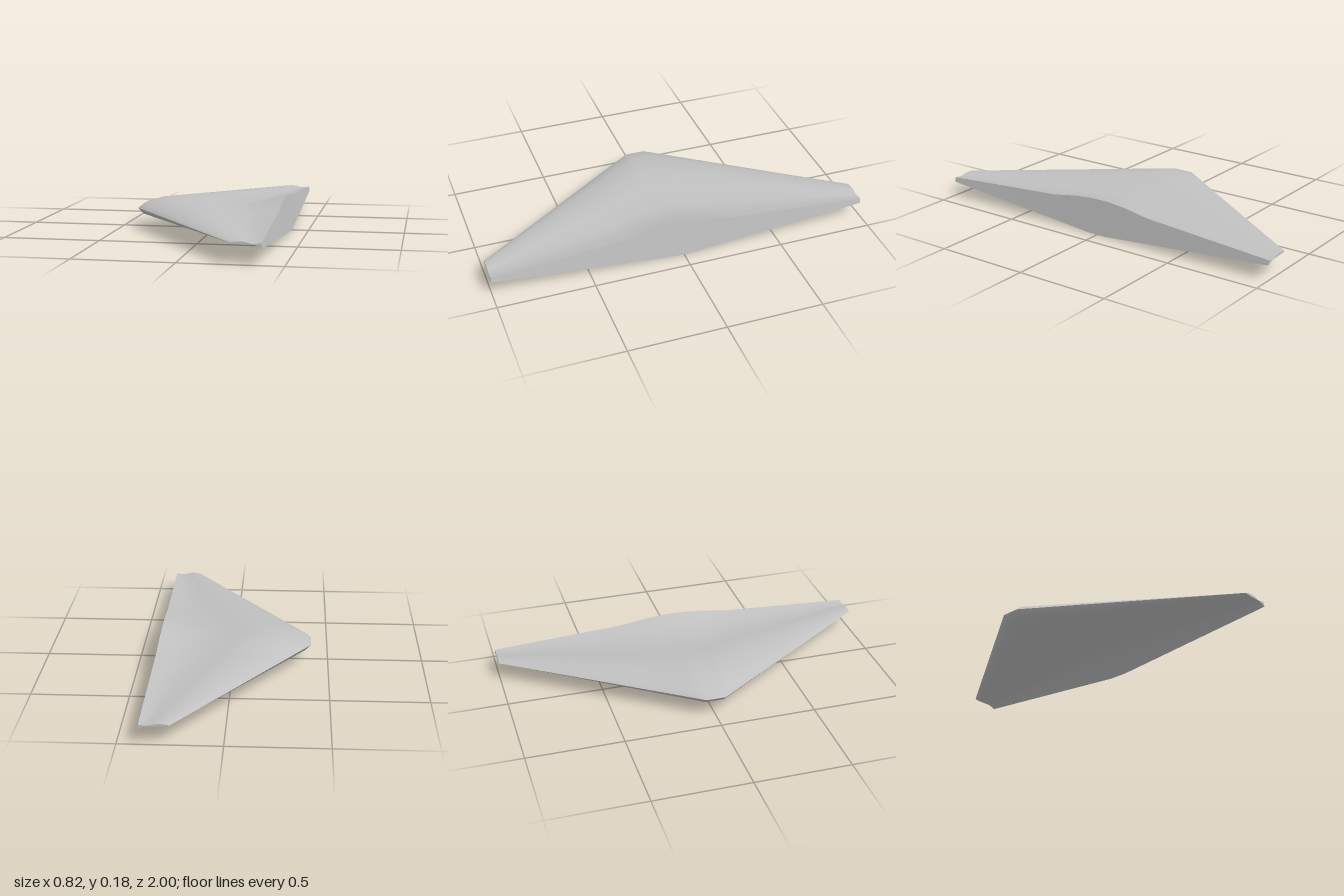
import * as THREE from 'three';

// Section outlines as [x, y], from leading edge to trailing edge
const ROOT_TOP = [[-0.41, 0.105], [-0.38, 0.13], [-0.29, 0.157], [-0.15, 0.17], [0, 0.157], [0.16, 0.127], [0.3, 0.157], [0.38, 0.182]];
const TIP_TOP = [[0.25, 0.103], [0.258, 0.106], [0.272, 0.109], [0.295, 0.11], [0.322, 0.108], [0.35, 0.1], [0.378, 0.102], [0.395, 0.105]];
const ROOT_LOW = [[-0.41, 0.105], [-0.38, 0.075], [-0.29, 0.066], [0.21, 0.095], [0.3, 0.06], [0.41, 0.002]];
const TIP_LOW = [[0.25, 0.103], [0.258, 0.1], [0.272, 0.098], [0.36, 0.096], [0.378, 0.09], [0.4, 0.08]];

// Stations on one half of the span: [z, extra drop of the upper rear lip]
const HALF = [[0.05, 0], [0.1, 0], [0.17, 0.001], [0.23, 0.007], [0.3, 0.012], [0.53, 0.008], [0.77, 0.004], [1, 0]];
const STATIONS = [...HALF.map(([z, d]) => [-z, d]).reverse(), ...HALF];

function section(root, tip, z, drop = 0) {
  const t = (Math.abs(z) - 0.05) / 0.95;
  return root.map(([x, y], i) => {
    const lip = i === 7 ? drop : i === 6 ? drop * 0.5 : 0;
    return new THREE.Vector3(x + (tip[i][0] - x) * t, y + (tip[i][1] - y) * t - lip, z);
  });
}

// Smooth skin through a row of sections with equal point counts
function loft(rows, flip = false) {
  const n = rows[0].length;
  const index = [];
  for (let i = 0; i < rows.length - 1; i++) {
    for (let j = 0; j < n - 1; j++) {
      const a = i * n + j, b = a + n, c = a + 1, d = b + 1;
      if (flip) index.push(a, c, b, c, d, b);
      else index.push(a, b, c, c, b, d);
    }
  }
  const geo = new THREE.BufferGeometry().setFromPoints(rows.flat());
  geo.setIndex(index);
  geo.computeVertexNormals();
  return geo;
}

export function createModel() {
  const group = new THREE.Group();
  group.name = 'wing';
  const grey = new THREE.MeshStandardMaterial({ color: 0xc0c0c0, side: THREE.DoubleSide });
  grey.name = 'light grey';
  const add = (name, geo) => {
    const mesh = new THREE.Mesh(geo, grey);
    mesh.name = name;
    group.add(mesh);
  };

  // Upper and lower skins
  const upper = STATIONS.map(([z, d]) => section(ROOT_TOP, TIP_TOP, z, d));
  const lower = STATIONS.map(([z]) => section(ROOT_LOW, TIP_LOW, z));
  add('upperSkin', loft(upper));
  add('lowerSkin', loft(lower, true));

  // Blunt trailing face joining the two skins
  add('trailingFace', loft(upper.map((row, i) => [row[7].clone(), lower[i][5].clone()])));

  // Flat caps at both tips
  const outline = [...TIP_LOW, ...TIP_TOP.slice(1).reverse()].map(([x, y]) => new THREE.Vector2(x, y));
  for (const z of [1, -1]) {
    add(z > 0 ? 'frontTipCap' : 'backTipCap', new THREE.ShapeGeometry(new THREE.Shape(outline)).translate(0, 0, z));
  }
  return group;
}
